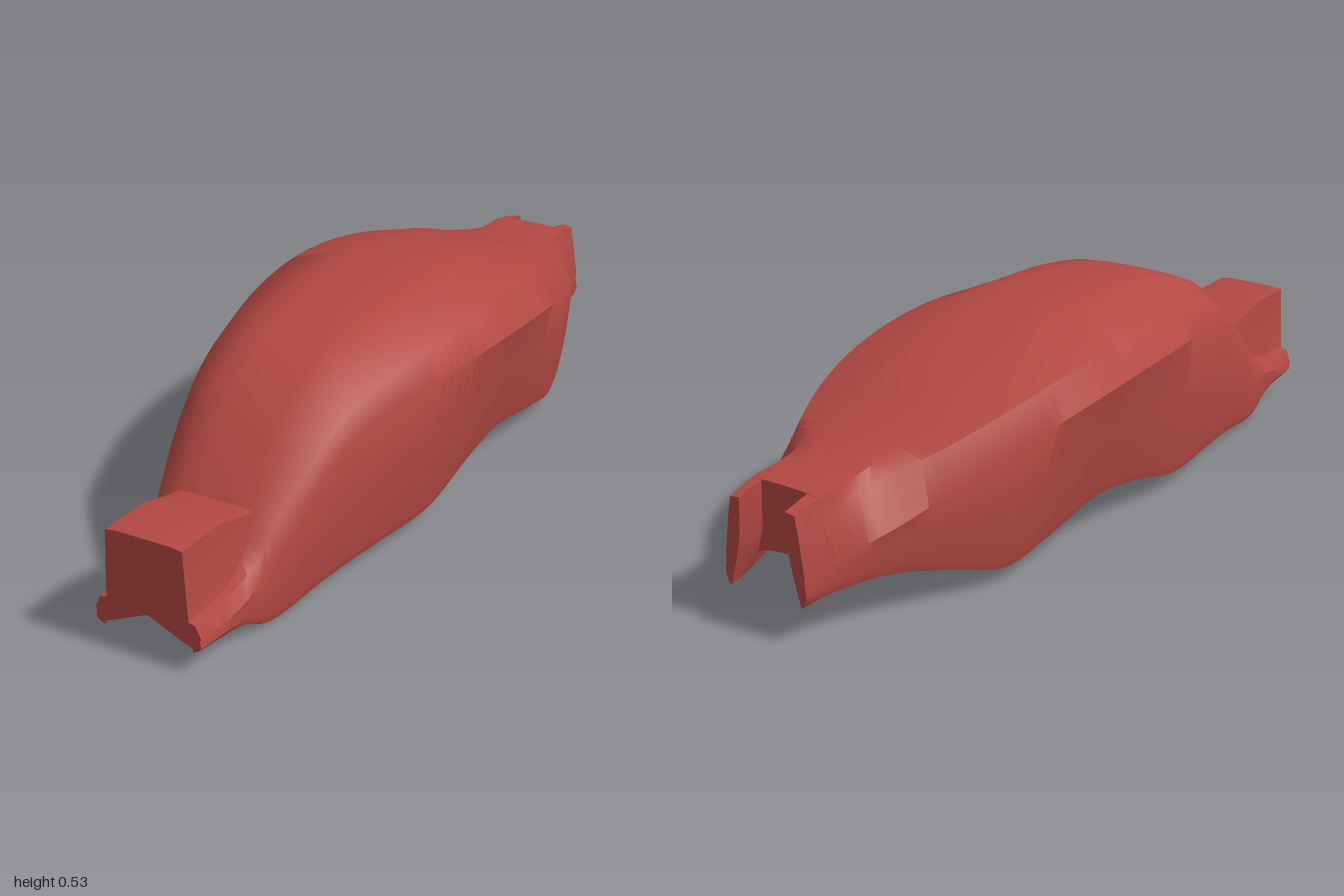
import * as THREE from 'three';
import { toCreasedNormals } from 'three/addons/utils/BufferGeometryUtils.js';

// Stations, front to back:
// z, top y, shoulder x, upper crease x/y, widest x/y, bottom rim x/y
const STATIONS = [
  [1, .14, .1, .122, .128, .137, .095, .128, .06],
  [.84, .155, .1, .13, .144, .151, .11, .147, .042],
  [.78, .19, .1, .14, .17, .157, .14, .155, .012],
  [.72, .26, .1, .15, .23, .17, .18, .163, .004],
  [.6, .38, .12, .175, .33, .197, .29, .188, .022],
  [.5, .45, .13, .195, .4, .22, .35, .21, .033],
  [.4, .495, .135, .215, .43, .245, .385, .23, .037],
  [.2, .53, .14, .255, .46, .295, .4, .262, .042],
  [0, .535, .14, .28, .47, .32, .4, .27, .085],
  [-.15, .528, .14, .283, .468, .327, .39, .272, .1],
  [-.35, .485, .14, .275, .44, .318, .365, .274, .065],
  [-.5, .44, .135, .25, .405, .29, .33, .262, .038],
  [-.65, .383, .12, .2, .36, .245, .28, .225, .078],
  [-.8, .339, .1, .12, .305, .185, .22, .175, .108],
  [-.93, .323, .098, .107, .265, .13, .18, .127, .1],
  [-1, .306, .092, .1, .26, .114, .165, .112, .09],
];

// Skin a list of {z, pts} rings (clockwise seen from the front) and cap both ends
function loft(rings, crease) {
  const n = rings[0].pts.length, pos = [], idx = [];
  for (const { z, pts } of rings) for (const [x, y] of pts) pos.push(x, y, z);
  for (let i = 0; i < rings.length - 1; i++) {
    for (let j = 0; j < n; j++) {
      const k = (j + 1) % n, a = i * n + j, b = i * n + k;
      idx.push(a, b, a + n, b, b + n, a + n);
    }
  }
  [0, rings.length - 1].forEach((r, end) => {
    const p = rings[r].pts.map(([x, y]) => new THREE.Vector2(x, y));
    for (const [a, b, c] of THREE.ShapeUtils.triangulateShape(p, [])) {
      const ccw = THREE.ShapeUtils.area([p[a], p[b], p[c]]) > 0;
      const o = r * n;
      if (ccw === (end === 0)) idx.push(o + a, o + b, o + c);
      else idx.push(o + a, o + c, o + b);
    }
  });
  const g = new THREE.BufferGeometry();
  g.setAttribute('position', new THREE.Float32BufferAttribute(pos, 3));
  g.setIndex(idx);
  return toCreasedNormals(g, crease);
}

// Half section from top centre round to underside centre, completed by mirroring
const mirrorRing = (half) =>
  [...half, ...half.slice(1, -1).reverse().map(([x, y]) => [-x, y])];

// Outer half section, from top centre down to the inner lip of the rim
const outerHalf = ([, top, xs, xu, yu, w, yw, xb, yb]) => [
  [0, top], [xs * .55, top - .001], [xs, top - .006],
  [xu, yu], [w, yw],
  [THREE.MathUtils.lerp(w, xb, .5), (yw + yb) / 2 + .02],
  [xb + .006, yb + Math.min(.03, (yw - yb) * .4)],
  [xb - .002, yb + .006],
  [xb - .012 - .2 * (xb - .12), yb],
];

// Underside vault: an even slope in the middle, steeper walls at the narrow ends
const VAULT = [[.8, .2], [.6, .4], [.4, .62], [.25, .81], [.12, .95], [0, 1]];
const STEEP = [[.95, .3], [.88, .55], [.78, .72], [.6, .86], [.35, .96], [0, 1]];

function bodyRing(z, s) {
  const [, top, , , , , , xb, yb] = s;
  const outer = outerHalf(s);
  const lipX = outer[8][0];
  const ceil = Math.min(top - .02, .25 - (z > 0 ? .13 : .1) * z * z);
  const mix = THREE.MathUtils.smoothstep(xb, .15, .24);
  const under = VAULT.map(([fx, fy], i) => [
    THREE.MathUtils.lerp(STEEP[i][0], fx, mix) * lipX,
    yb + THREE.MathUtils.lerp(STEEP[i][1], fy, mix) * (ceil - yb),
  ]);
  return { z, pts: mirrorRing([...outer, ...under]) };
}

export function createModel() {
  const model = new THREE.Group();
  model.name = 'fuelTankCover';
  const red = new THREE.MeshStandardMaterial({ color: 0xb34843 });
  red.name = 'red';
  const add = (name, geometry) => {
    const mesh = new THREE.Mesh(geometry, red);
    mesh.name = name;
    model.add(mesh);
  };

  // Main shell with its vaulted underside and front side flanges
  const path = new THREE.CubicInterpolant(
    STATIONS.map((s) => -s[0]), STATIONS.flat(), 9);
  const section = (z) => Array.from(path.evaluate(-z));
  const steps = 72, rings = [];
  for (let i = 0; i <= steps; i++) {
    const z = 1 - 1.93 * i / steps;
    rings.push(bodyRing(z, section(z)));
  }
  add('tankShell', loft(rings, .68));

  // Neck box at the front: notched lower edge that rises into the shell
  const neck = [[1, .307, 0], [.92, .303, .25], [.85, .297, .5], [.78, .275, .75], [.7, .253, 1]];
  add('frontNeck', loft(neck.map(([z, y, r]) => ({ z, pts: mirrorRing([
    [0, y], [.07, y], [.097, y - .004], [.105, .13 + .06 * r],
    [.123 - .02 * r, .066 + .1 * r], [.09, .078 + .11 * r], [0, .119 + .1 * r],
  ]) })), .5));

  // Two prongs continue the shell at the tail, either side of the open slot
  for (const side of [1, -1]) {
    const prongRings = [-.92, -.95, -.98, -1].map((z) => {
      const s = section(z);
      const pts = [[.066, s[1] - .003], ...outerHalf(s).slice(2), [.082, .16], [.07, .21]];
      return { z, pts: side > 0 ? pts : pts.map(([x, y]) => [-x, y]).reverse() };
    });
    add(side > 0 ? 'leftTailProng' : 'rightTailProng', loft(prongRings, .68));
  }
  return model;
}
